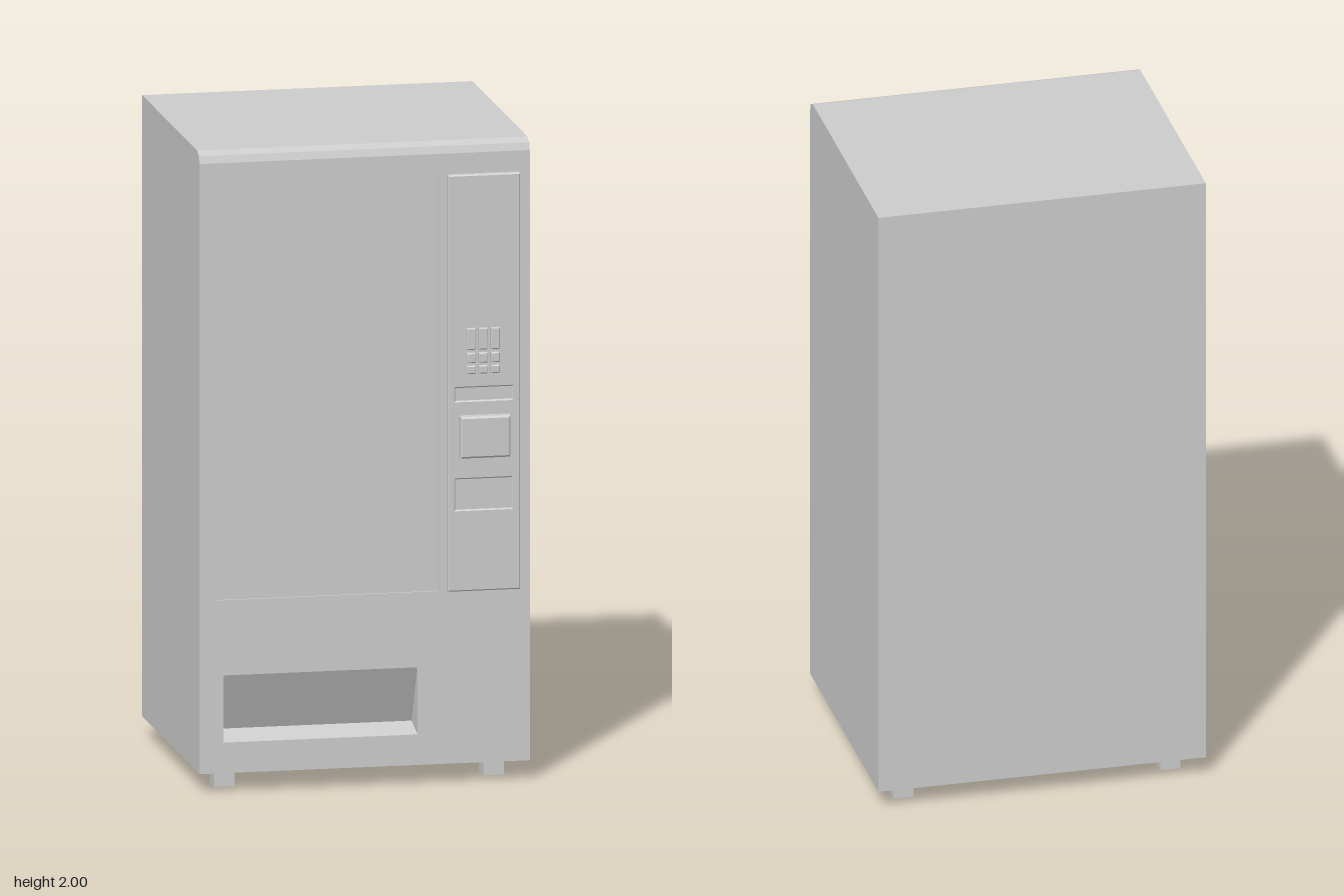
import * as THREE from 'three';

const casing = new THREE.MeshStandardMaterial({ color: 0xcccccc });
casing.name = 'casing grey';

// Rectangular outline from its edges
function rect(x0, x1, y0, y1, Type = THREE.Shape) {
  return new Type([[x0, y0], [x1, y0], [x1, y1], [x0, y1]].map(p => new THREE.Vector2(...p)));
}

function add(parent, name, geometry) {
  const mesh = new THREE.Mesh(geometry, casing);
  mesh.name = name;
  parent.add(mesh);
  return mesh;
}

// Plate with optional holes and a small bevel, between two depths
function plate(edges, holes, z0, z1, bevel = 0) {
  const shape = rect(...edges);
  shape.holes = holes.map(h => rect(...h, THREE.Path));
  const g = new THREE.ExtrudeGeometry(shape, {
    depth: z1 - z0 - bevel, bevelEnabled: bevel > 0, bevelSegments: 1,
    bevelSize: bevel, bevelThickness: bevel, bevelOffset: -bevel,
  });
  return g.translate(0, 0, z0);
}

// Side profile of [z, y] points swept from x0 to x1
function sweep(points, x0, x1) {
  const shape = new THREE.Shape(points.map(p => new THREE.Vector2(...p)));
  const g = new THREE.ExtrudeGeometry(shape, { depth: x1 - x0, bevelEnabled: false });
  return g.rotateY(-Math.PI / 2).translate(x1, 0, 0);
}

export function createModel() {
  const machine = new THREE.Group();
  machine.name = 'vendingMachine';
  const W = 0.515, front = 0.41, inner = 0.3;
  const windowEdges = [-0.465, 0.23, 0.6, 1.9];
  const trayEdges = [-0.44, 0.165, 0.155, 0.365];

  // Cabinet with a rounded front top edge
  add(machine, 'cabinet', sweep([
    [-0.46, 0.06], [inner, 0.06], [inner, 1.965], [front, 1.965],
    [0.403, 1.988], [0.375, 2], [-0.46, 2],
  ], -W, W));

  // Front door, cut for the window and the collection tray
  add(machine, 'door', plate([-W, W, 0.06, 1.965], [windowEdges, trayEdges], inner, front));
  add(machine, 'displayWindow', plate(windowEdges, [], inner, front - 0.007));

  // Slanted flap and sloping floor of the tray
  add(machine, 'trayFlap', sweep([
    [inner, 0.155], [front - 0.002, 0.156], [0.32, 0.18], [front - 0.004, 0.365], [inner, 0.365],
  ], trayEdges[0], trayEdges[1]));

  // Control panel with two shallow slots
  const panel = new THREE.Group();
  panel.name = 'controlPanel';
  machine.add(panel);
  const slots = [[0.28, 0.455, 1.195, 1.235], [0.28, 0.455, 0.855, 0.95]];
  add(panel, 'panelPlate', plate([0.257, 0.482, 0.6, 1.9], slots, front - 0.004, 0.43, 0.004));
  slots.forEach((s, i) => add(panel, ['displaySlot', 'coinReturn'][i], plate(s, [], front - 0.004, 0.424)));
  add(panel, 'paymentBox', plate([0.29, 0.446, 1.02, 1.15], [], 0.425, 0.46, 0.006));

  // Keypad: a tall top row above two short rows
  const rows = [[1.355, 1.422], [1.314, 1.345], [1.28, 1.305]];
  for (const [y0, y1] of rows) {
    for (let c = 0; c < 3; c++) {
      const x = 0.3125 + c * 0.0375;
      add(panel, 'key', plate([x, x + 0.028, y0, y1], [], 0.425, 0.442, 0.003));
    }
  }

  // Feet
  for (const x of [-0.42, 0.42]) {
    for (const z of [-0.362, 0.293]) {
      add(machine, 'foot', new THREE.BoxGeometry(0.064, 0.062, 0.064)).position.set(x, 0.031, z);
    }
  }
  return machine;
}
